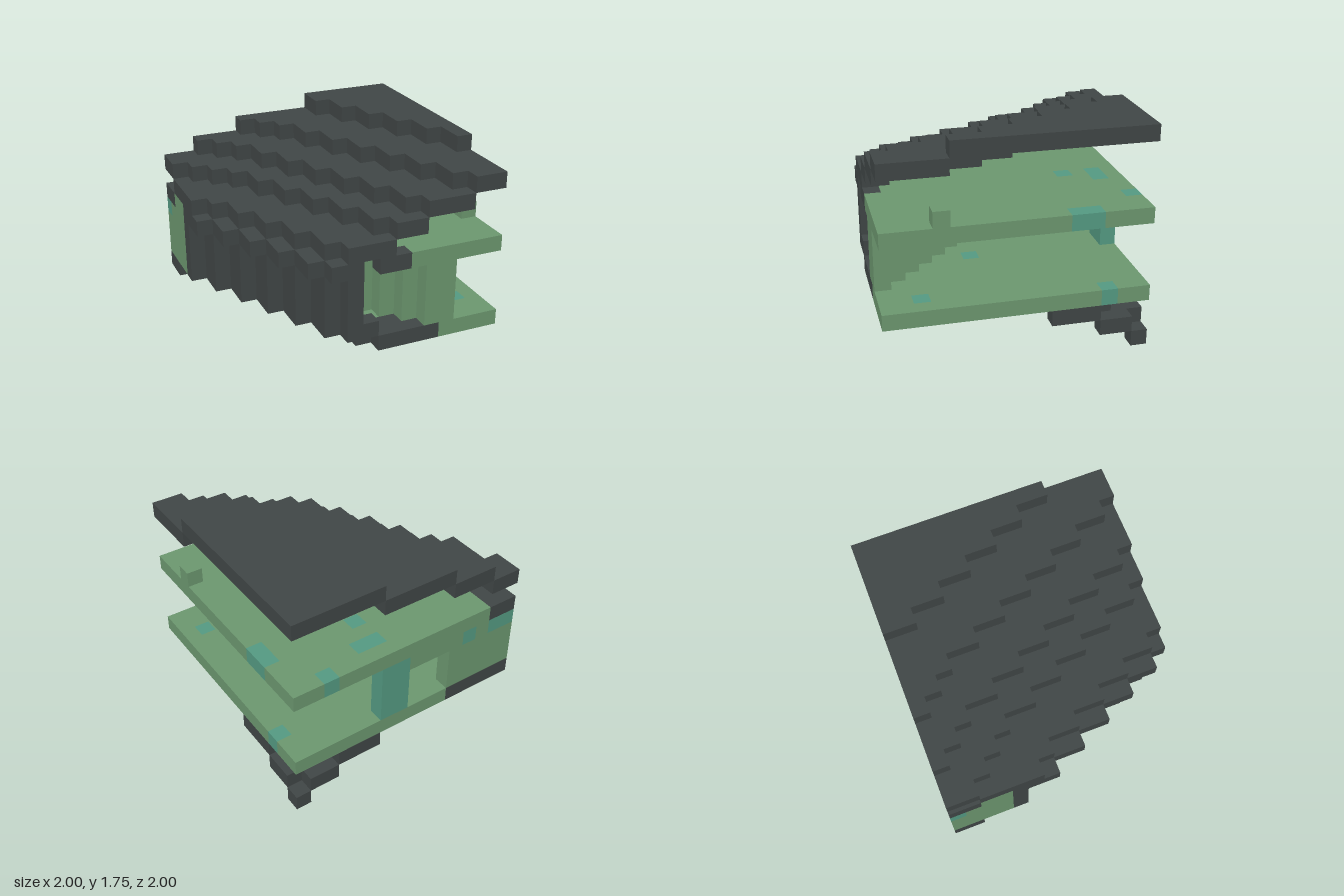
import * as THREE from 'three';
import { mergeGeometries } from 'three/addons/utils/BufferGeometryUtils.js';

const N = 16, U = 2 / N;

export function createModel() {
  const mats = {
    slate: new THREE.MeshStandardMaterial({ color: 0x404646 }),
    green: new THREE.MeshStandardMaterial({ color: 0x6c976f }),
    teal: new THREE.MeshStandardMaterial({ color: 0x549a82 }),
  };
  for (const name in mats) mats[name].name = name;

  // Block grid: i along x, j up, k along z (from the back)
  const cells = new Map();
  const key = (i, j, k) => `${i},${j},${k}`;
  const put = (part, color, i, j, k) => {
    if (i >= 0 && i < N) cells.set(key(i, j, k), `${part}|${color}`);
  };
  const row = (part, color, i0, i1, j, k) => {
    for (let i = Math.max(0, i0); i < Math.min(N, i1); i++) put(part, color, i, j, k);
  };

  for (let k = 0; k < N; k++) {
    const half = Math.ceil(k / 2);
    const s = half - 3;               // outer line of the round side

    // Floor and ceiling slabs, with dark corners
    for (let i = k < 2 ? 0 : half; i < N; i++) {
      const darkFloor = i + k < 5 || (k >= 13 && i < 12 - 2 * (15 - k));
      put('floor', darkFloor ? 'slate' : 'green', i, 3, k);
    }
    for (let i = k < 4 ? 0 : half; i < N; i++) {
      const darkCeiling = (k === 15 && i < 10) || (k < 2 && i < 2);
      put('ceiling', darkCeiling ? 'slate' : 'green', i, 8, k);
    }

    // Walls: back corner, passage side, and stepped diagonal
    for (let j = 4; j < 8; j++) {
      if (k < 4) put('cornerWall', 'green', 0, j, k);
      if (k > 0 && k < 6) put('passageWall', 'green', 2, j, k);
      if (k > 5) row('diagonalWall', 'green', k - 4, k - 2, j, k);
    }

    // Curved side shell with a projecting upper rim
    if (k >= 4) {
      row('shell', 'slate', s + 1, s + 3, 4, k);
      for (let j = 5; j < 8; j++) row('shell', 'slate', s + 1, s + 2, j, k);
      row('shell', 'slate', s, s + 2, 8, k);
    }

    // Roof terraces, each starting where the one below stops
    const starts = [
      k < 6 ? 0 : s + 1,
      Math.max(0, Math.min(half + 1, k - 1)),
      Math.min(half + 3, k + 2),
      Math.min(half + 6, k + 5),
      10 + Math.floor(k / 2),
      N,
    ];
    for (let n = 0; n < 5; n++) row('roof', 'slate', starts[n], starts[n + 1], 9 + n, k);

    // Open diagonal steps under the tall corner
    row('underside', 'slate', 10 + k, 13 + k, 2, k);
    row('underside', 'slate', 13 + k, 15 + k, 1, k);
    row('underside', 'slate', 15 + k, N, 0, k);
  }

  // Back wall with a doorway and a teal pillar
  for (let j = 4; j < 8; j++) {
    row('backWall', 'green', 0, 5, j, 0);
    if (j === 7) row('backWall', 'green', 5, 8, j, 0);
    row('doorPillar', 'teal', 8, 10, j, 0);
  }

  // Small knob on the ceiling slab
  put('knob', 'green', 15, 9, 12);

  // Teal patches
  const patches = [
    [15, 8, 3], [15, 8, 4], [13, 8, 0], [10, 8, 1], [9, 8, 1], [9, 8, 3],
    [15, 3, 2], [14, 3, 13], [9, 3, 9], [6, 3, 6], [5, 3, 4],
    [3, 7, 0], [0, 7, 0], [1, 7, 0],
  ];
  for (const [i, j, k] of patches) {
    const part = cells.get(key(i, j, k)).split('|')[0];
    put(part, 'teal', i, j, k);
  }

  // Join equal blocks along x into bars, then merge the bars of each part
  const bars = {};
  for (let j = 0; j < 14; j++) for (let k = 0; k < N; k++) {
    for (let i = 0; i < N;) {
      const id = cells.get(key(i, j, k));
      let e = i + 1;
      while (e < N && cells.get(key(e, j, k)) === id) e++;
      if (id) {
        const bar = new THREE.BoxGeometry((e - i) * U, U, U);
        bar.translate((i + e) / 2 * U - 1, (j + 0.5) * U, (k + 0.5) * U - 1);
        (bars[id] ??= []).push(bar);
      }
      i = e;
    }
  }

  const model = new THREE.Group();
  model.name = 'steppedShelter';
  for (const id in bars) {
    const [part, color] = id.split('|');
    const mesh = new THREE.Mesh(mergeGeometries(bars[id]), mats[color]);
    mesh.name = `${part} ${color}`;
    model.add(mesh);
  }
  return model;
}
